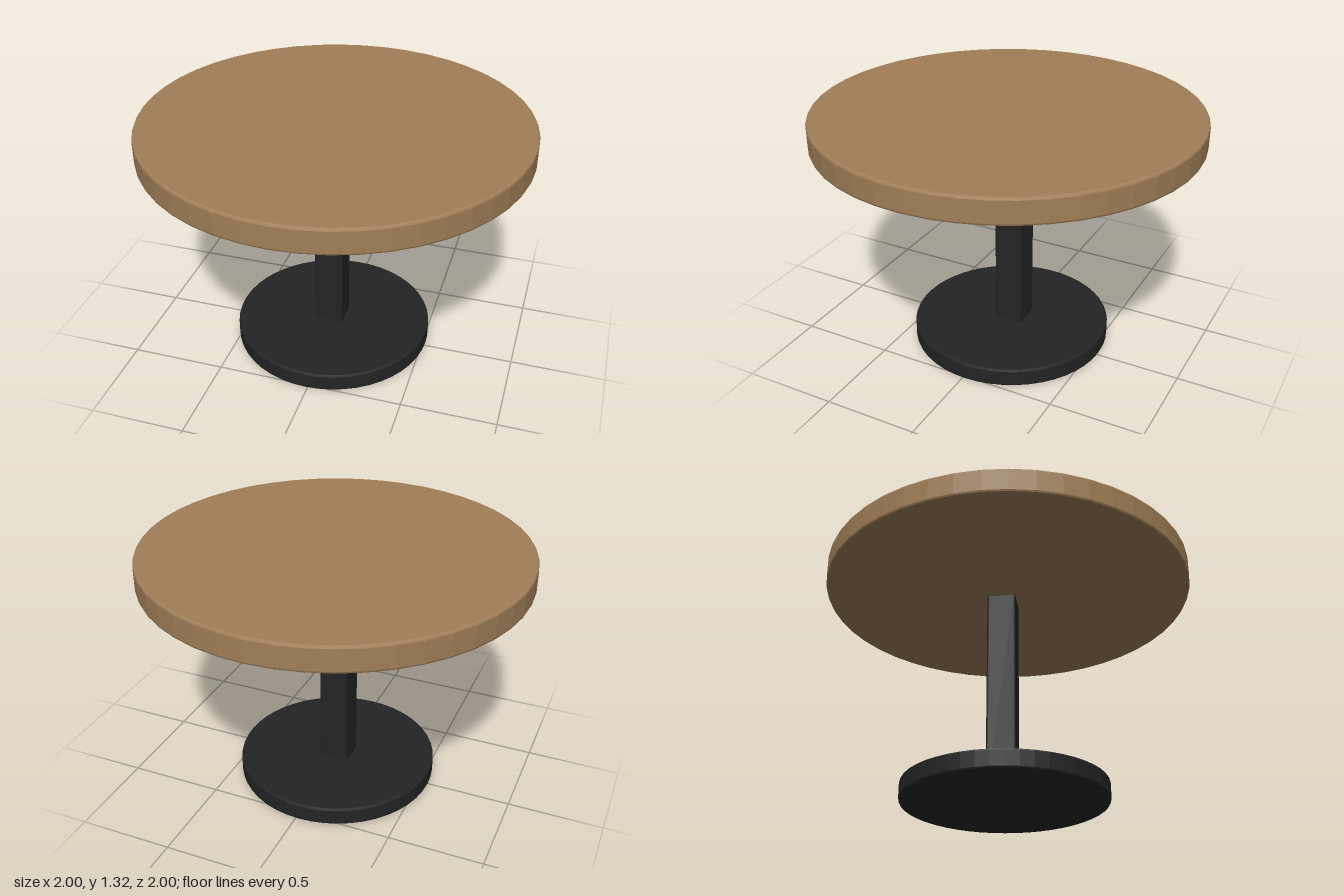
import * as THREE from 'three';
import { RoundedBoxGeometry } from 'three/addons/geometries/RoundedBoxGeometry.js';

// Solid disc with a small bevel on both rims
function disc(radius, y0, y1, bevel, sides) {
  const profile = [
    [0, y0], [radius - bevel, y0], [radius - bevel * 0.3, y0 + bevel * 0.3], [radius, y0 + bevel],
    [radius, y1 - bevel], [radius - bevel * 0.3, y1 - bevel * 0.3], [radius - bevel, y1], [0, y1],
  ].map(([x, y]) => new THREE.Vector2(x, y));
  // Unshared vertices give crisp facets around the rim
  const geometry = new THREE.LatheGeometry(profile, sides).toNonIndexed();
  geometry.computeVertexNormals();
  return geometry;
}

export function createModel() {
  const wood = new THREE.MeshStandardMaterial({ color: 0xa17f58 });
  wood.name = 'wood';
  const black = new THREE.MeshStandardMaterial({ color: 0x242424 });
  black.name = 'black metal';

  const table = new THREE.Group();
  table.name = 'pedestalTable';
  const add = (name, geometry, material, x, y, z) => {
    const mesh = new THREE.Mesh(geometry, material);
    mesh.name = name;
    mesh.position.set(x, y, z);
    table.add(mesh);
  };

  // Round top, floating slightly above the post
  add('tableTop', disc(1, 1.188, 1.322, 0.012, 48), wood, 0, 0, 0);

  // Square post and round foot, both slightly off centre
  add('post', new RoundedBoxGeometry(0.155, 1.12, 0.155, 2, 0.012), black, -0.027, 0.61, -0.024);
  add('base', disc(0.535, 0, 0.097, 0.01, 48), black, -0.016, 0, -0.014);

  return table;
}
